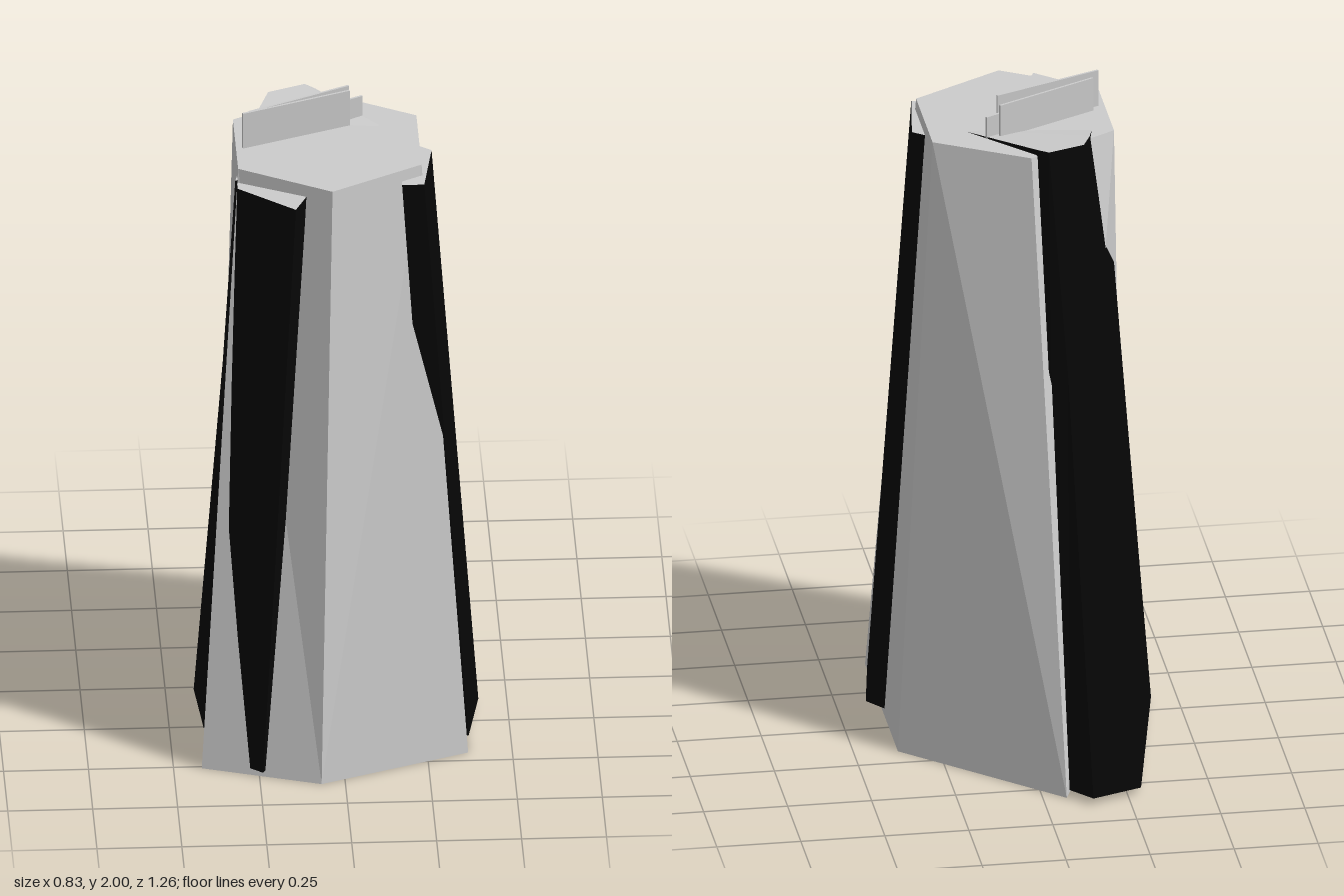
import * as THREE from 'three';

const grey = new THREE.MeshStandardMaterial({ color: 0xcccccc, flatShading: true, side: THREE.DoubleSide });
const black = new THREE.MeshStandardMaterial({ color: 0x060606, flatShading: true, side: THREE.DoubleSide });

function meshFrom(name, positions, material) {
  const geometry = new THREE.BufferGeometry();
  geometry.setAttribute('position', new THREE.Float32BufferAttribute(positions, 3));
  geometry.computeVertexNormals();
  const mesh = new THREE.Mesh(geometry, material);
  mesh.name = name;
  return mesh;
}

// Gives a list of [x, z] corners one height
const level = (y, corners) => corners.map(([x, z]) => [x, y, z]);

// Lofts rings of corners (clockwise from above, lowest ring first);
// 'flipped' lists the sides whose quads split along the other diagonal
function loft(name, rings, sideMaterial, capMaterial, flipped = []) {
  const group = new THREE.Group();
  group.name = name;
  const n = rings[0].length;
  const sides = [], caps = [];
  for (let r = 0; r + 1 < rings.length; r++) {
    const lo = rings[r], hi = rings[r + 1];
    for (let i = 0; i < n; i++) {
      const j = (i + 1) % n;
      const quad = flipped.includes(i)
        ? [lo[j], lo[i], hi[j], lo[i], hi[i], hi[j]]
        : [lo[j], lo[i], hi[i], lo[j], hi[i], hi[j]];
      sides.push(...quad.flat());
    }
  }
  const bottom = rings[0], top = rings[rings.length - 1];
  const under = [];
  for (let i = 1; i + 1 < n; i++) {
    caps.push(...top[0], ...top[i + 1], ...top[i]);
    under.push(...bottom[0], ...bottom[i], ...bottom[i + 1]);
  }
  group.add(
    meshFrom(name + 'Sides', sides, sideMaterial),
    meshFrom(name + 'Top', caps, capMaterial),
    meshFrom(name + 'Underside', under, sideMaterial)
  );
  return group;
}

export function createModel() {
  const model = new THREE.Group();
  model.name = 'taperedTower';

  // Tapered six-sided body
  model.add(loft('body', [
    level(0, [[0.37, 0.45], [-0.07, 0.627], [-0.417, 0.51], [-0.36, 0.2], [-0.07, -0.57], [0.37, -0.17]]),
    level(1.885, [[0.24, 0.31], [-0.03, 0.468], [-0.3, 0.31], [-0.3, 0], [-0.03, -0.157], [0.24, 0]])
  ], grey, grey, [1, 4]));

  // Broad dark panel on the back right, with its top lapping over the body
  model.add(loft('backPanel', [
    level(0.02, [[-0.2, 0.2], [-0.395, 0.375], [-0.418, 0.05], [-0.29, -0.575], [-0.14, -0.63], [-0.08, -0.56]]),
    level(1.25, [[0, 0.1], [-0.345, 0.31], [-0.3, -0.13], [-0.235, -0.3], [-0.11, -0.345], [-0.065, -0.31]]),
    [[0.15, 1.883, 0.08], [-0.308, 1.84, 0.3], [-0.22, 1.895, -0.05], [-0.19, 1.905, -0.13],
      [-0.08, 1.907, -0.172], [-0.05, 1.905, -0.145]]
  ], black, grey));

  // Narrow dark strip at the front right
  model.add(loft('frontStrip', [
    level(0.02, [[-0.2, 0.5], [-0.24, 0.585], [-0.355, 0.49], [-0.36, 0.42]]),
    level(1.85, [[-0.105, 0.43], [-0.14, 0.51], [-0.303, 0.37], [-0.303, 0.33]])
  ], black, grey));

  // Dark strip on the left side
  model.add(loft('sideStrip', [
    level(0.02, [[0.3, 0.1], [0.365, 0.085], [0.415, 0.15], [0.375, 0.38], [0.3, 0.38]]),
    level(1.85, [[0.18, 0.125], [0.24, 0.125], [0.277, 0.155], [0.245, 0.37], [0.18, 0.37]])
  ], black, grey));

  // Thin upright plates on the roof: [x1, z1, x2, z2, bottom, top]
  const plates = [
    [-0.28, 0.18, 0.04, 0.05, 1.88, 2.0],
    [-0.26, 0.15, 0.04, 0, 1.88, 1.99],
    [-0.09, 0.09, 0.08, 0, 1.88, 1.955]
  ];
  plates.forEach(([x1, z1, x2, z2, low, high], i) => {
    const length = Math.hypot(x2 - x1, z2 - z1);
    const plate = new THREE.Mesh(new THREE.BoxGeometry(length, high - low, 0.007), grey);
    plate.name = 'roofPlate' + (i + 1);
    plate.position.set((x1 + x2) / 2, (low + high) / 2, (z1 + z2) / 2);
    plate.rotation.y = -Math.atan2(z2 - z1, x2 - x1);
    model.add(plate);
  });

  return model;
}
